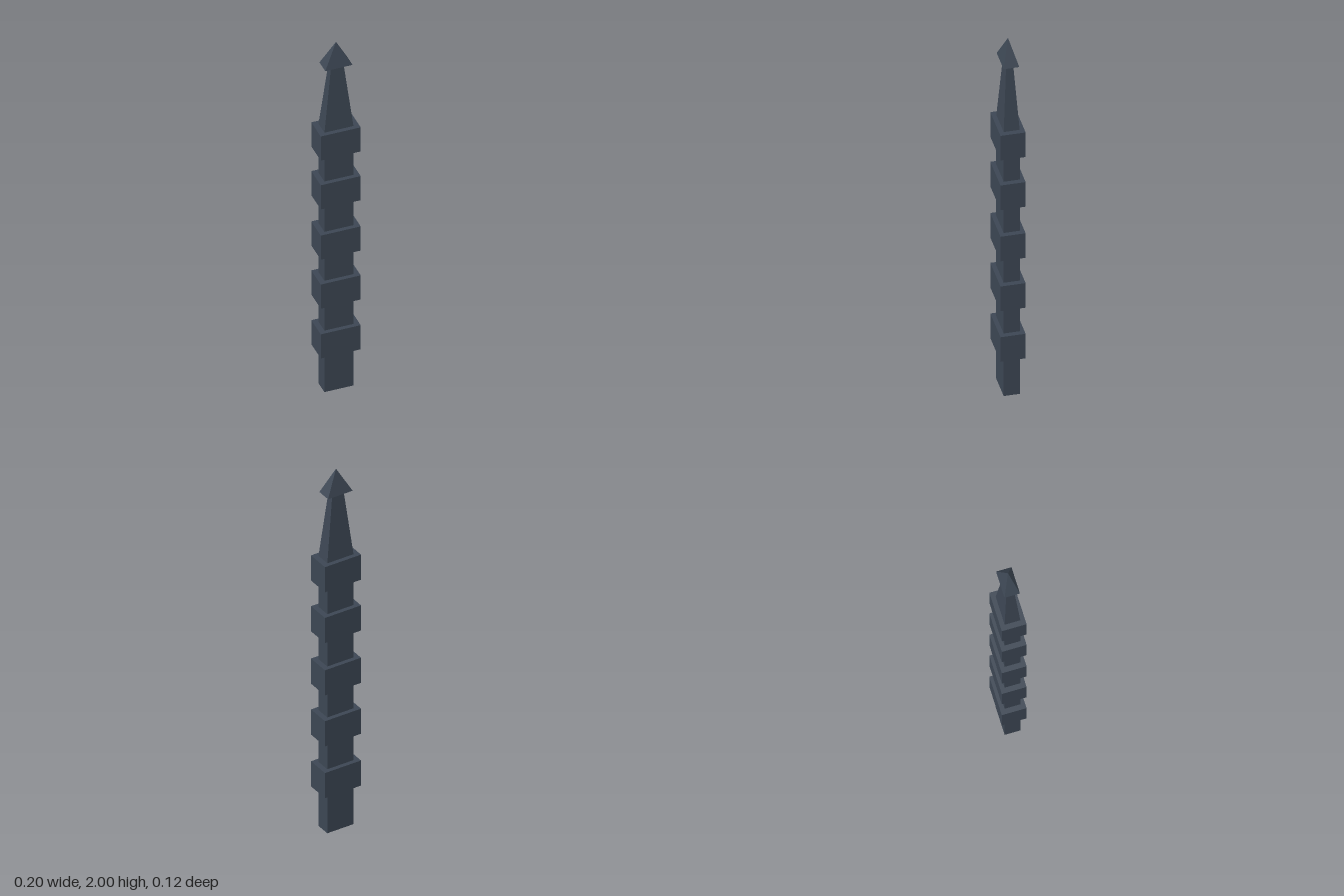
import * as THREE from 'three';

const iron = new THREE.MeshStandardMaterial({ color: 0x3c4653, side: THREE.DoubleSide });
iron.name = 'darkIron';

// Open rectangular tube or frustum; top is the ratio of top size to bottom size
function taper(name, halfX, halfZ, y0, y1, top) {
  const r = Math.SQRT2;
  const g = new THREE.CylinderGeometry(r * top, r, y1 - y0, 4, 1, true);
  g.rotateY(Math.PI / 4);
  g.scale(halfX, 1, halfZ);
  g.translate(0, (y0 + y1) / 2, 0);
  const flat = g.toNonIndexed();
  flat.computeVertexNormals();
  const mesh = new THREE.Mesh(flat, iron);
  mesh.name = name;
  return mesh;
}

export function createModel() {
  const group = new THREE.Group();
  group.name = 'spikedPost';

  // Hollow shaft, open at the foot, then the tapering neck
  group.add(taper('shaft', 0.074, 0.039, 0, 1.51, 1));
  group.add(taper('neck', 0.074, 0.039, 1.51, 1.865, 0.44));

  // Pointed head with a shallow sloping underside
  group.add(taper('headUnderside', 0.031, 0.017, 1.859, 1.873, 2.22));
  group.add(taper('headPoint', 0.069, 0.038, 1.873, 2, 0.0001));

  // Evenly spaced square collars
  for (const y of [0.289, 0.58, 0.866, 1.16, 1.445]) {
    const collar = new THREE.Mesh(new THREE.BoxGeometry(0.202, 0.141, 0.122), iron);
    collar.name = 'collar';
    collar.position.y = y;
    group.add(collar);
  }
  return group;
}
